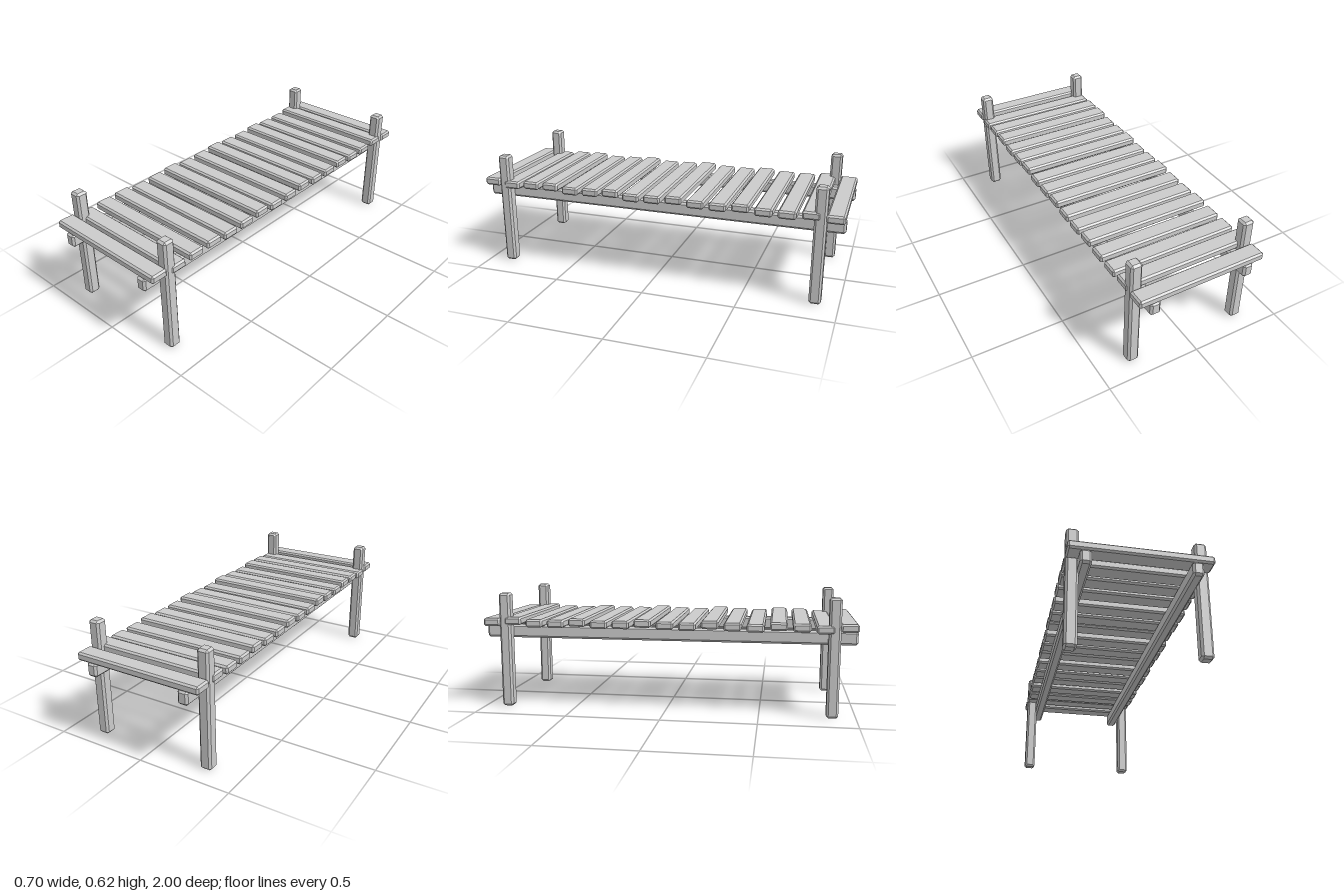
import * as THREE from 'three';
import { ConvexGeometry } from 'three/addons/geometries/ConvexGeometry.js';

const material = new THREE.MeshStandardMaterial({ color: 0xcccccc, flatShading: true });

// Box with every edge and corner cut at 45 degrees
function chamferedBox(w, h, d, c) {
  const points = [];
  for (const x of [-1, 1]) for (const y of [-1, 1]) for (const z of [-1, 1]) {
    const X = w / 2, Y = h / 2, Z = d / 2;
    points.push(
      new THREE.Vector3(x * X, y * (Y - c), z * (Z - c)),
      new THREE.Vector3(x * (X - c), y * Y, z * (Z - c)),
      new THREE.Vector3(x * (X - c), y * (Y - c), z * Z)
    );
  }
  return new ConvexGeometry(points);
}

export function createModel() {
  const group = new THREE.Group();
  const add = (name, geometry, x, y, z) => {
    const mesh = new THREE.Mesh(geometry, material);
    mesh.name = name;
    mesh.position.set(x, y, z);
    group.add(mesh);
  };

  // Deck planks, front to back, each laid at a slightly different height
  const plank = chamferedBox(0.698, 0.043, 0.092, 0.009);
  const tops = [0.493, 0.483, 0.491, 0.495, 0.484, 0.488, 0.496, 0.484, 0.487,
    0.496, 0.486, 0.485, 0.494, 0.485, 0.485, 0.496, 0.488];
  tops.forEach((top, i) => add('plank', plank, 0, top - 0.0215, 0.952 - i * 0.119));

  // Long beams under the deck and posts at the four corners
  const beam = chamferedBox(0.056, 0.073, 2, 0.011);
  const post = chamferedBox(0.062, 0.625, 0.062, 0.011);
  for (const side of [-1, 1]) {
    add(side > 0 ? 'leftBeam' : 'rightBeam', beam, side * 0.263, 0.413, 0);
    for (const end of [-1, 1]) {
      const name = (end > 0 ? 'front' : 'back') + (side > 0 ? 'Left' : 'Right') + 'Post';
      add(name, post, side * 0.313, 0.3125, end * 0.878);
    }
  }
  return group;
}
